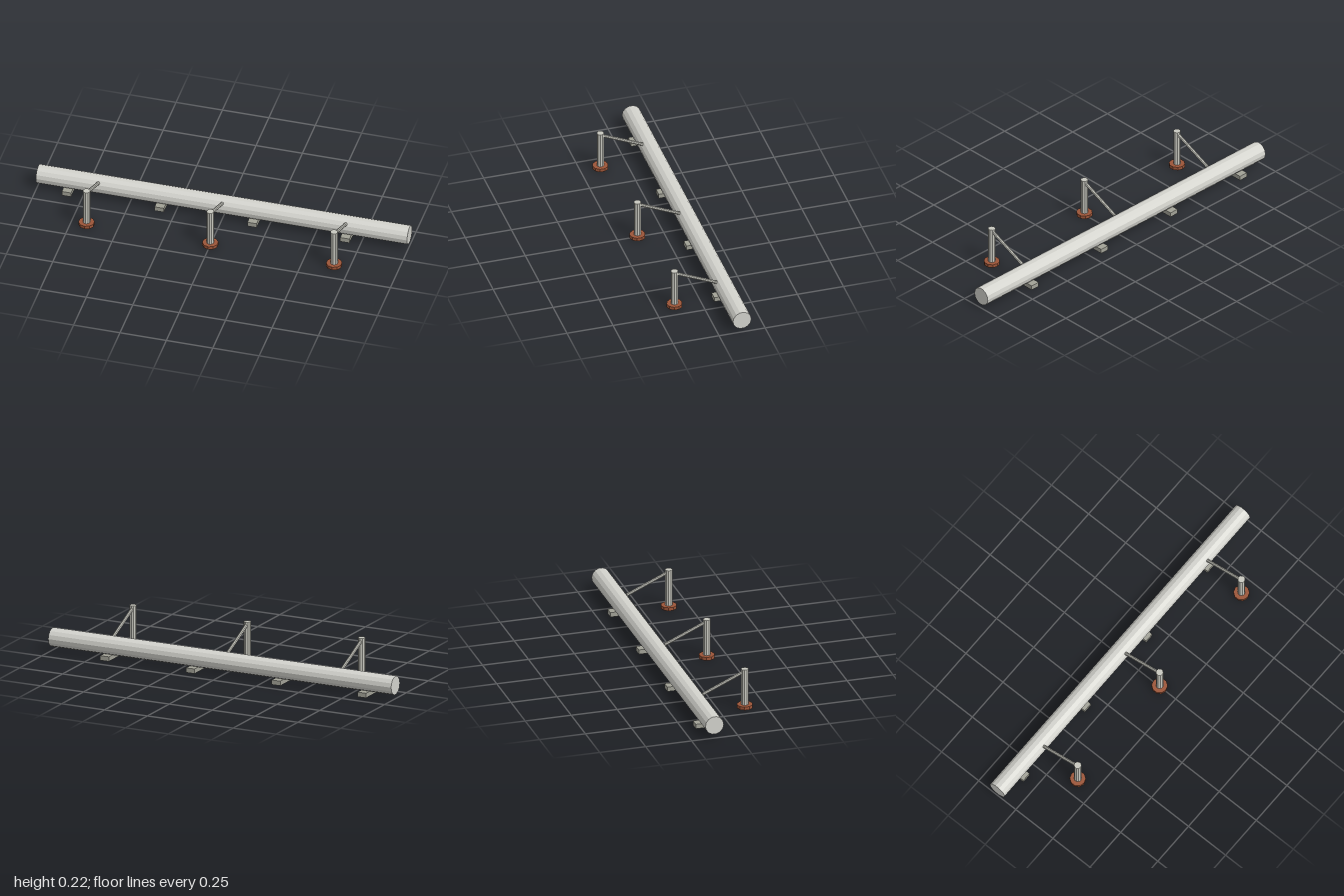
import * as THREE from 'three';

const material = (name, color) => {
  const m = new THREE.MeshStandardMaterial({ color, flatShading: true });
  m.name = name;
  return m;
};

export function createModel() {
  const pipeGrey = material('pipe grey', 0xd3d3cd);
  const steelGrey = material('steel grey', 0xc9c9c0);
  const blockGrey = material('block grey', 0xa2a297);
  const rustBrown = material('rust brown', 0x9c5538);

  const model = new THREE.Group();
  model.name = 'pipeline';

  const add = (parent, name, geometry, mat, x, y, z) => {
    const mesh = new THREE.Mesh(geometry, mat);
    mesh.name = name;
    mesh.position.set(x, y, z);
    parent.add(mesh);
    return mesh;
  };

  // Long main pipe lying along x
  const pipe = add(model, 'mainPipe', new THREE.CylinderGeometry(0.05, 0.05, 2, 14), pipeGrey, 0, 0.0715, -0.125);
  pipe.rotation.z = Math.PI / 2;

  // Blocks carrying the pipe
  const blockGeometry = new THREE.BoxGeometry(0.05, 0.025, 0.117);
  for (const x of [-0.833, -0.333, 0.167, 0.667]) {
    add(model, 'supportBlock', blockGeometry, blockGrey, x, 0.0125, -0.125);
  }

  // Posts with a flange at the foot and a sloping branch into the pipe
  const flangeGeometry = new THREE.CylinderGeometry(0.042, 0.042, 0.018, 10);
  const postGeometry = new THREE.CylinderGeometry(0.0195, 0.0195, 0.218, 10);
  const start = new THREE.Vector3(0, 0.2, 0.132);
  const end = new THREE.Vector3(0, 0.103, -0.086);
  const slope = end.clone().sub(start);
  const branchGeometry = new THREE.CylinderGeometry(0.0088, 0.0088, slope.length(), 8);
  const middle = start.clone().lerp(end, 0.5);

  for (const x of [-0.667, 0, 0.667]) {
    const riser = new THREE.Group();
    riser.name = 'riser';
    riser.position.x = x;
    model.add(riser);
    add(riser, 'flange', flangeGeometry, rustBrown, 0, 0.009, 0.142);
    add(riser, 'post', postGeometry, steelGrey, 0, 0.109, 0.142);
    const branch = add(riser, 'branchPipe', branchGeometry, steelGrey, 0, middle.y, middle.z);
    branch.quaternion.setFromUnitVectors(new THREE.Vector3(0, 1, 0), slope.clone().normalize());
  }

  return model;
}
